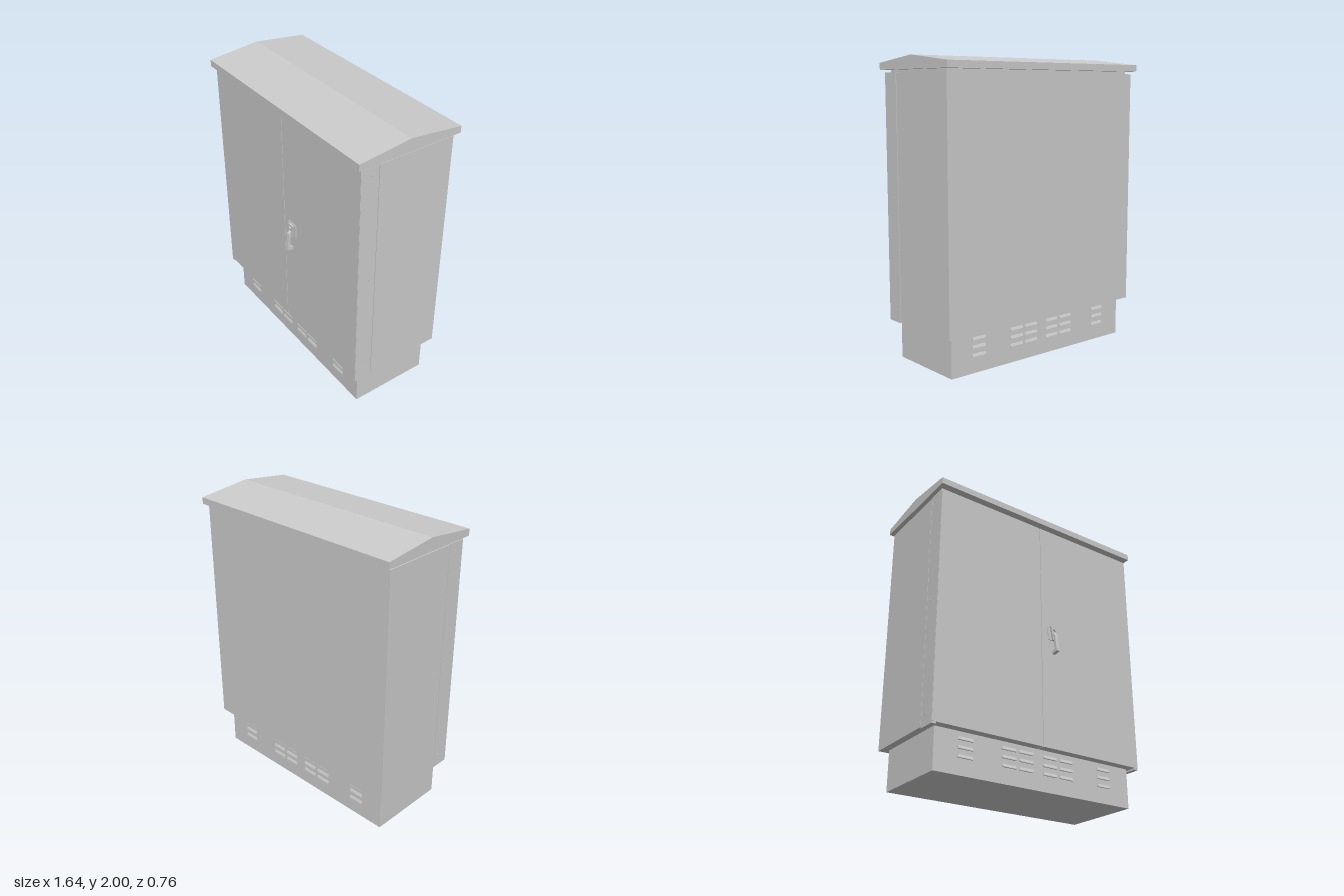
import * as THREE from 'three';

const grey = new THREE.MeshStandardMaterial({ color: 0xcccccc });

function add(parent, name, geometry, x = 0, y = 0, z = 0) {
  const mesh = new THREE.Mesh(geometry, grey);
  mesh.name = name;
  mesh.position.set(x, y, z);
  parent.add(mesh);
  return mesh;
}

// Box given by its lower and upper limits on each axis
function block(parent, name, [x0, x1], [y0, y1], [z0, z1]) {
  return add(parent, name, new THREE.BoxGeometry(x1 - x0, y1 - y0, z1 - z0),
    (x0 + x1) / 2, (y0 + y1) / 2, (z0 + z1) / 2);
}

// Extrudes a [z, y] outline along x, centred on x = 0
function sideProfile(points, width) {
  const shape = new THREE.Shape(points.map(([z, y]) => new THREE.Vector2(-z, y)));
  const geometry = new THREE.ExtrudeGeometry(shape, { depth: width, bevelEnabled: false });
  geometry.translate(0, 0, -width / 2);
  return geometry.rotateY(Math.PI / 2);
}

function group(parent, name) {
  const g = new THREE.Group();
  g.name = name;
  parent.add(g);
  return g;
}

function makeDoor(parent, side) {
  const door = group(parent, side > 0 ? 'leftDoor' : 'rightDoor');
  const span = (a, b) => side > 0 ? [a, b] : [-b, -a];
  block(door, 'doorPanel', span(0.002, 0.8), [0.27, 1.895], [0.207, 0.335]);
  // Folded side flange, reaching a little below the panel
  block(door, 'doorFlange', span(0.772, 0.801), [0.258, 1.897], [0.207, 0.333]);
  // Hinge screws
  for (const y of [0.34, 1.09, 1.84]) {
    const screw = add(door, 'hingeScrew', new THREE.CylinderGeometry(0.006, 0.006, 0.004, 12), side * 0.802, y, 0.25);
    screw.rotation.z = Math.PI / 2;
  }
}

function makeHandle(parent) {
  const handle = group(parent, 'handle');
  block(handle, 'handlePlate', [0.052, 0.138], [1.03, 1.135], [0.334, 0.341]);
  // Tapered lock housing
  const housing = new THREE.Shape([[-0.028, 1.128], [-0.012, 1.03], [0.012, 1.03], [0.028, 1.128]]
    .map(([x, y]) => new THREE.Vector2(x, y)));
  add(handle, 'lockHousing', new THREE.ExtrudeGeometry(housing, { depth: 0.015, bevelEnabled: false }), 0.095, 0, 0.339);
  const lock = add(handle, 'lockCylinder', new THREE.CylinderGeometry(0.011, 0.011, 0.014, 20), 0.095, 1.105, 0.358);
  lock.rotation.x = Math.PI / 2;
  // Hanging grip
  add(handle, 'grip', sideProfile([
    [0.34, 0.93], [0.387, 0.938], [0.387, 0.955], [0.372, 1.062],
    [0.352, 1.085], [0.345, 1.07], [0.36, 1.045], [0.364, 0.957], [0.34, 0.95],
  ], 0.024), 0.095, 0, 0);
}

function makeVents(parent, name, z, facing) {
  const vents = group(parent, name);
  vents.position.z = z;
  vents.rotation.y = facing > 0 ? 0 : Math.PI;
  // Louvre hood: slopes outward and overhangs a slit
  const hood = sideProfile([[-0.004, 0.014], [0.003, 0.012], [0.009, -0.004], [0.009, -0.009], [-0.004, -0.009]], 0.105);
  for (const x of [-0.535, -0.222, -0.093, 0.093, 0.222, 0.535]) {
    for (const y of [0.115, 0.17, 0.225]) add(vents, 'louvre', hood, x, y, 0);
  }
}

export function createModel() {
  const model = new THREE.Group();
  model.name = 'outdoorCabinet';

  // Plinth with louvres front and back
  block(model, 'plinth', [-0.75, 0.75], [0, 0.272], [-0.29, 0.275]);
  makeVents(model, 'frontVents', 0.275, 1);
  makeVents(model, 'backVents', -0.29, -1);

  // Cabinet body, door seal and roof collar
  block(model, 'body', [-0.8, 0.8], [0.27, 1.895], [-0.342, 0.202]);
  block(model, 'doorSeal', [-0.785, 0.785], [0.285, 1.88], [0.2, 0.21]);
  block(model, 'roofCollar', [-0.775, 0.775], [1.89, 1.917], [-0.31, 0.305]);

  // Pair of front doors and the lever lock
  makeDoor(model, 1);
  makeDoor(model, -1);
  makeHandle(model);

  // Shallow gabled roof
  add(model, 'roof', sideProfile([
    [0.365, 1.913], [0.365, 1.958], [0, 2], [-0.377, 1.958], [-0.377, 1.913],
  ], 1.64));

  return model;
}
